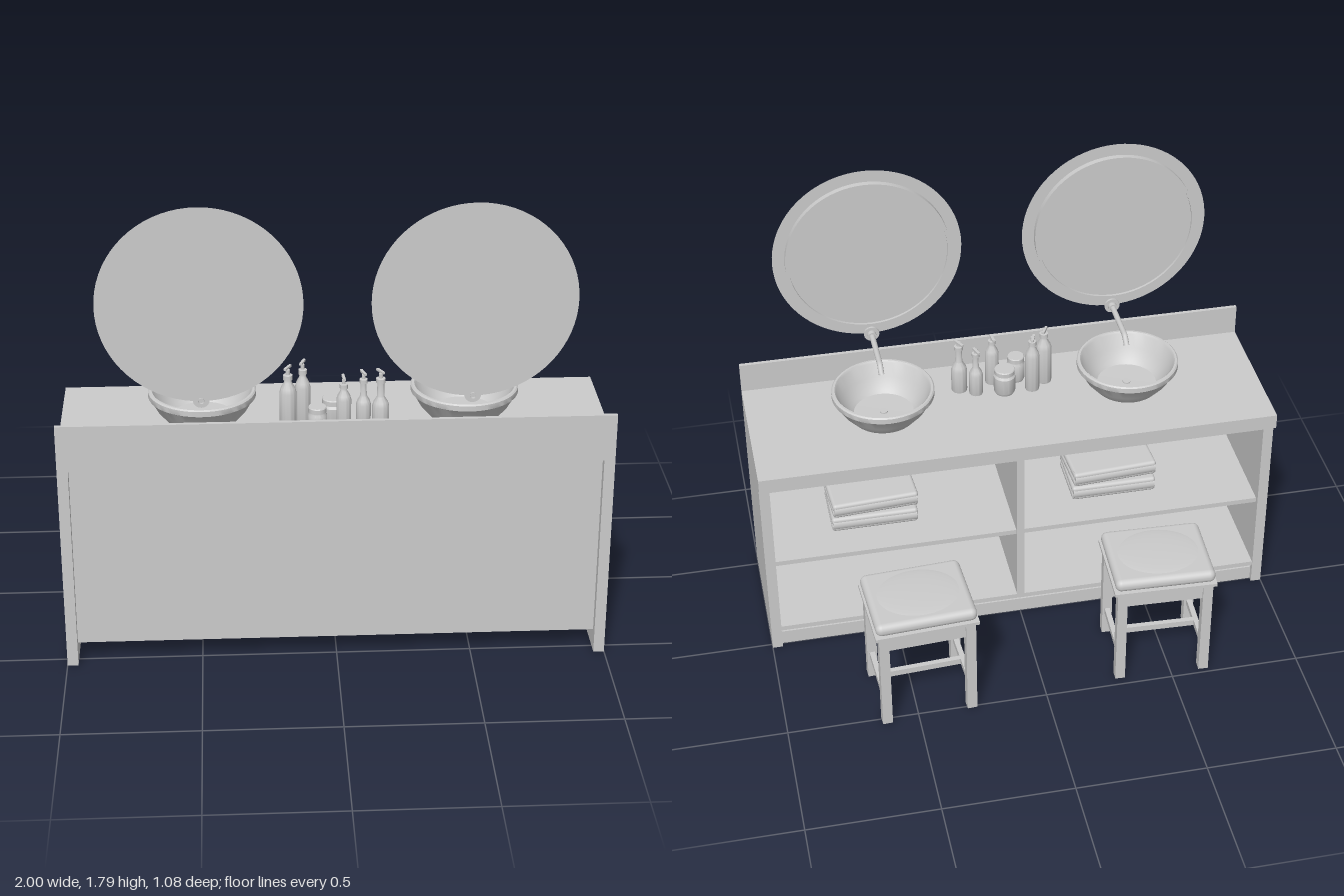
import * as THREE from 'three';
import { RoundedBoxGeometry } from 'three/addons/geometries/RoundedBoxGeometry.js';
import { toCreasedNormals } from 'three/addons/utils/BufferGeometryUtils.js';

const grey = new THREE.MeshStandardMaterial({ color: 0xcccccc });
const greyDouble = new THREE.MeshStandardMaterial({ color: 0xcccccc, side: THREE.DoubleSide });

function add(parent, name, geometry, x = 0, y = 0, z = 0, material = grey) {
  const mesh = new THREE.Mesh(geometry, material);
  mesh.name = name;
  mesh.position.set(x, y, z);
  parent.add(mesh);
  return mesh;
}

// box given by its two opposite corners
function block(parent, name, x0, x1, y0, y1, z0, z1) {
  return add(parent, name, new THREE.BoxGeometry(x1 - x0, y1 - y0, z1 - z0),
    (x0 + x1) / 2, (y0 + y1) / 2, (z0 + z1) / 2);
}

// turned shape from [radius, height] pairs, with crisp edges kept
function turned(points, sides = 40) {
  const profile = points.map(([r, y]) => new THREE.Vector2(r, y));
  return toCreasedNormals(new THREE.LatheGeometry(profile, sides), 0.6);
}

function group(parent, name, x = 0, y = 0, z = 0) {
  const g = new THREE.Group();
  g.name = name;
  g.position.set(x, y, z);
  parent.add(g);
  return g;
}

// open cabinet: the cubbyholes face -z, the closed panel faces +z
function buildCabinet(root) {
  const cabinet = group(root, 'cabinet');
  block(cabinet, 'countertop', -1, 1, 0.8, 0.86, -0.05, 0.545);
  block(cabinet, 'backsplash', -1, 1, 0.86, 0.98, 0.53, 0.545);
  block(cabinet, 'rearPanel', -0.96, 0.96, 0.08, 0.8, 0.5, 0.515);
  block(cabinet, 'bottomPanel', -0.96, 0.96, 0.08, 0.1, -0.015, 0.5);
  block(cabinet, 'plinth', -0.96, 0.96, 0, 0.06, 0, 0.02);
  block(cabinet, 'divider', -0.015, 0.015, 0.1, 0.8, -0.015, 0.5);
  for (const s of [-1, 1]) {
    block(cabinet, 'sidePanel', s * 0.98 - 0.02, s * 0.98 + 0.02, 0, 0.8, -0.02, 0.545);
    const inner = s * 0.4875;
    block(cabinet, 'shelf', inner - 0.4725, inner + 0.4725, 0.4, 0.42, 0, 0.5);
  }
}

// folded towels: two layers per towel, joined by a round fold
function buildTowels(root, x) {
  const stack = group(root, 'towelStack', x, 0.42, 0.25);
  for (let i = 0; i < 2; i++) {
    const towel = group(stack, 'towel', 0, i * 0.065, i * 0.01);
    towel.rotation.y = i * 0.06;
    for (let k = 0; k < 2; k++) {
      add(towel, 'towelLayer', new RoundedBoxGeometry(0.34, 0.031, 0.24, 3, 0.013), 0, 0.016 + k * 0.031, 0);
    }
    const fold = add(towel, 'towelFold', new THREE.CylinderGeometry(0.03, 0.03, 0.33, 16), 0, 0.031, -0.095);
    fold.rotation.z = Math.PI / 2;
  }
}

function buildBasin(root, x) {
  add(root, 'basin', turned([
    [0, 0], [0.11, 0], [0.125, 0.008], [0.165, 0.055], [0.19, 0.1], [0.197, 0.105], [0.197, 0.125],
    [0.192, 0.13], [0.184, 0.13], [0.178, 0.123], [0.16, 0.07], [0.125, 0.03], [0.115, 0.02], [0, 0.018],
  ], 56), x, 0.86, 0.26);
  add(root, 'drain', new THREE.CylinderGeometry(0.015, 0.015, 0.006, 20), x, 0.88, 0.26);
}

// wall spout with a plate, a bent tip and a small handle
function buildFaucet(root, x) {
  const faucet = group(root, 'faucet', x, 1.065, 0);
  const plate = add(faucet, 'wallPlate', new THREE.CylinderGeometry(0.03, 0.03, 0.008, 28), 0, 0, 0.522);
  plate.rotation.x = Math.PI / 2;
  const path = new THREE.CurvePath();
  const corner = [[0, 0, 0.537], [0, 0, 0.325], [0, -0.002, 0.31], [0, -0.025, 0.28]]
    .map(p => new THREE.Vector3(...p));
  path.add(new THREE.LineCurve3(corner[0], corner[1]));
  path.add(new THREE.QuadraticBezierCurve3(corner[1], new THREE.Vector3(0, 0, 0.313), corner[2]));
  path.add(new THREE.LineCurve3(corner[2], corner[3]));
  add(faucet, 'spout', new THREE.TubeGeometry(path, 40, 0.011, 14), 0, 0, 0, greyDouble);
  const collar = add(faucet, 'collar', new THREE.CylinderGeometry(0.017, 0.017, 0.02, 24), 0, 0, 0.51);
  collar.rotation.x = Math.PI / 2;
}

// round mirror: shallow drum facing -z with a thin halo disc behind it
function buildMirror(root, x) {
  const mirror = group(root, 'mirror', x, 1.425, 0.53);
  const drum = add(mirror, 'mirrorFrame', turned([
    [0.29, 0], [0.315, 0], [0.315, 0.022], [0.305, 0.022], [0.305, 0.012], [0, 0.012],
  ], 72));
  drum.rotation.x = -Math.PI / 2;
  add(mirror, 'haloRing', new THREE.RingGeometry(0.29, 0.362, 72), 0, 0, 0.0005, greyDouble);
  add(mirror, 'backDisc', new THREE.CircleGeometry(0.29, 72), 0, 0, 0.0005, greyDouble);
}

// soap bottle with a pump; the shoulder narrows into a thin neck
function buildBottle(root, [x, z, r, h, slim]) {
  const bottle = group(root, 'bottle', x, 0.86, z);
  const shoulder = slim ? 0.62 : 0.42;
  add(bottle, 'bottleBody', turned([
    [0, 0], [r * 0.95, 0], [r, 0.006], [r, h * shoulder], [r * 0.85, h * (shoulder + 0.07)],
    [r * 0.45, h * (shoulder + 0.16)], [r * 0.4, h * 0.82], [r * 0.55, h * 0.82],
    [r * 0.55, h * 0.89], [r * 0.25, h * 0.9], [r * 0.25, h * 0.97], [0, h * 0.97],
  ], 28));
  const lever = add(bottle, 'pumpNozzle', new THREE.BoxGeometry(0.01, 0.008, 0.045), 0, h * 0.98, -0.014);
  lever.rotation.y = x * 3;
}

function buildJar(root, x, z, r, h) {
  add(root, 'jar', turned([
    [0, 0], [r * 0.85, 0], [r, 0.012], [r, h * 0.7], [r * 0.85, h * 0.78],
    [r * 0.85, h * 0.82], [r * 0.95, h * 0.82], [r * 0.95, h * 0.97], [r * 0.88, h], [0, h],
  ], 32), x, 0.86, z);
}

function buildStool(root, x, z, turn) {
  const stool = group(root, 'stool', x, 0, z);
  stool.rotation.y = turn;
  const lx = 0.165, lz = 0.135;
  add(stool, 'cushion', new RoundedBoxGeometry(0.385, 0.052, 0.32, 5, 0.024), 0, 0.466, 0);
  // slightly domed top of the cushion
  const dome = new THREE.SphereGeometry(1, 32, 8, 0, Math.PI * 2, 0, Math.PI / 2);
  add(stool, 'cushionDome', dome, 0, 0.488, 0).scale.set(0.17, 0.01, 0.14);
  block(stool, 'seatBoard', -0.197, 0.197, 0.428, 0.441, -0.164, 0.164);
  for (const s of [-1, 1]) {
    for (const t of [-1, 1]) {
      block(stool, 'leg', s * lx - 0.019, s * lx + 0.019, 0, 0.428, t * lz - 0.019, t * lz + 0.019);
    }
    block(stool, 'sideApron', s * lx - 0.01, s * lx + 0.01, 0.36, 0.428, -lz, lz);
    block(stool, 'longApron', -lx, lx, 0.36, 0.428, s * lz - 0.01, s * lz + 0.01);
    block(stool, 'sideStretcher', s * lx - 0.01, s * lx + 0.01, 0.1, 0.125, -lz, lz);
  }
  block(stool, 'crossStretcher', -lx, lx, 0.1, 0.125, -0.01, 0.01);
}

export function createModel() {
  const root = new THREE.Group();
  root.name = 'doubleVanity';
  buildCabinet(root);
  for (const x of [-0.48, 0.48]) {
    buildBasin(root, x);
    buildFaucet(root, x);
    buildMirror(root, x);
  }
  buildTowels(root, 0.55);
  buildTowels(root, -0.41);
  // x, z, radius, height, slim body
  const bottles = [
    [-0.17, 0.365, 0.031, 0.25, true], [-0.115, 0.32, 0.028, 0.25, true],
    [0.03, 0.395, 0.027, 0.22, true], [0.105, 0.335, 0.027, 0.21, false],
    [0.165, 0.37, 0.031, 0.23, false],
  ];
  bottles.forEach(b => buildBottle(root, b));
  buildJar(root, -0.065, 0.395, 0.035, 0.11);
  buildJar(root, -0.005, 0.32, 0.042, 0.11);
  buildStool(root, -0.47, -0.32, -0.04);
  buildStool(root, 0.465, -0.365, 0.055);
  return root;
}
